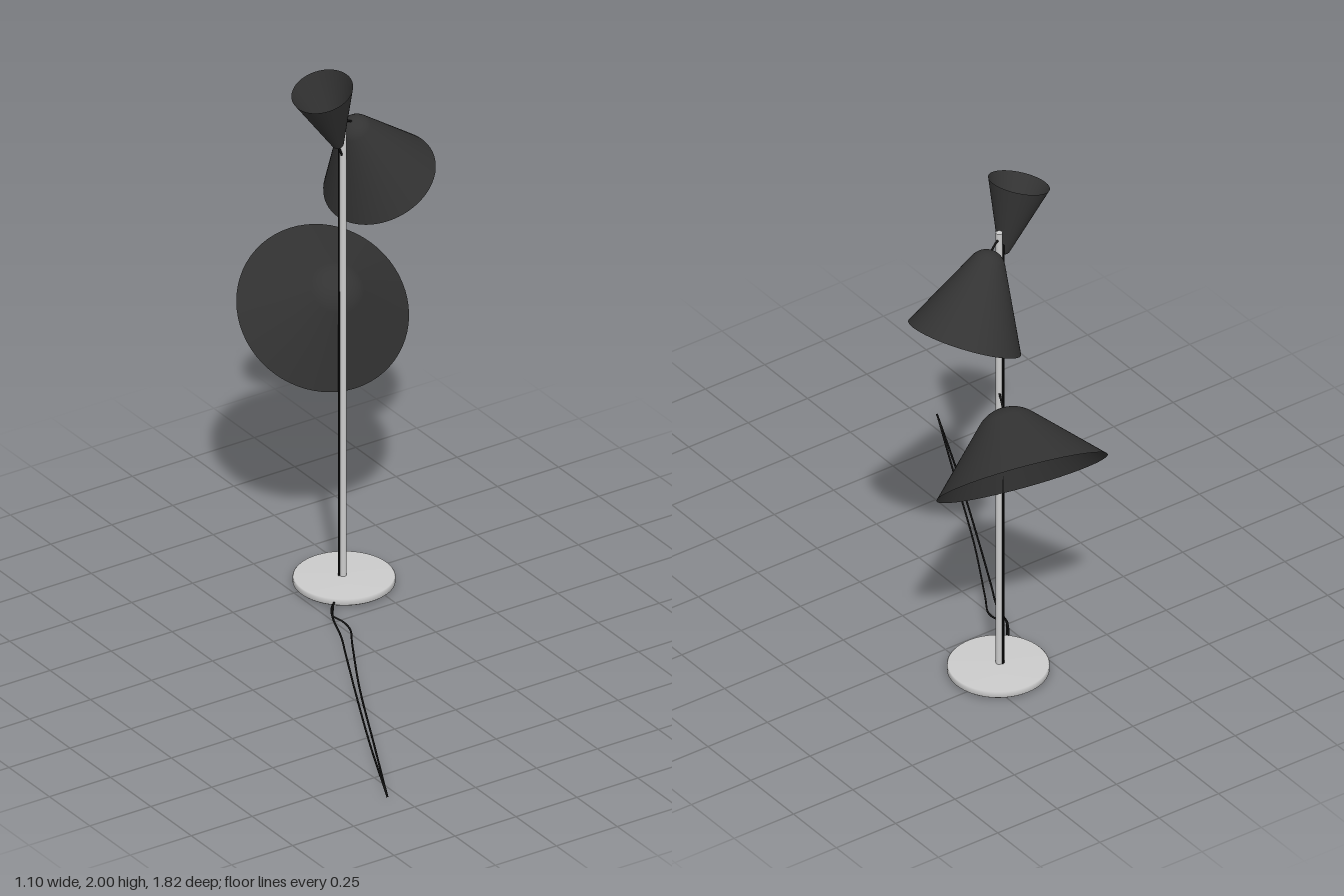
import * as THREE from 'three';

const grey = new THREE.MeshStandardMaterial({ color: 0xcccccc });
const dark = new THREE.MeshStandardMaterial({ color: 0x333333, side: THREE.DoubleSide });
const black = new THREE.MeshStandardMaterial({ color: 0x151515 });
const POLE_X = 0.176, POLE_Z = -0.462;
const V = (x, y, z) => new THREE.Vector3(x, y, z);

function part(name, geometry, material, x = 0, y = 0, z = 0) {
  const mesh = new THREE.Mesh(geometry, material);
  mesh.name = name;
  mesh.position.set(x, y, z);
  return mesh;
}

function wire(name, points, radius, segments) {
  const curve = new THREE.CatmullRomCurve3(points, false, 'centripetal');
  return part(name, new THREE.TubeGeometry(curve, segments, radius, 6), black);
}

// Cone with a ball-rounded tip; rim at y = 0, sharp apex would lie at y = apex
function shadeGeometry(radius, apex, tip) {
  const a = Math.atan2(radius, apex);
  const s = (apex - tip) / (1 / Math.sin(a) - 1);
  const centre = tip - s;
  const profile = [];
  for (let i = 0; i <= 4; i++) profile.push(new THREE.Vector2(radius * (1 - i * 0.04), apex * i * 0.04));
  for (let i = 0; i <= 10; i++) {
    const t = a + (Math.PI / 2 - a) * (i / 10);
    profile.push(new THREE.Vector2(Math.max(0, s * Math.cos(t)), centre + s * Math.sin(t)));
  }
  return new THREE.LatheGeometry(profile, 64);
}

// opening = direction the shade faces, centre = middle of its rim
const shades = [
  { name: 'lowerShade', centre: V(0.24, 0.953, -0.685), opening: V(0.16, -0.72, -0.67), radius: 0.304, apex: 0.305, tip: 0.25, arm: 1.16 },
  { name: 'middleShade', centre: V(0.367, 1.495, -0.525), opening: V(0.45, -0.88, -0.13), radius: 0.202, apex: 0.40, tip: 0.32, arm: 1.79 },
  { name: 'upperShade', centre: V(0.068, 1.965, -0.428), opening: V(-0.31, 0.95, 0.08), radius: 0.108, apex: 0.31, tip: 0.265, arm: 1.66 },
];

function createShade(s, index) {
  const group = new THREE.Group();
  group.name = s.name;
  const axis = s.opening.clone().normalize().negate();
  const head = new THREE.Group();
  head.name = s.name + 'Head';
  head.position.copy(s.centre);
  head.quaternion.setFromUnitVectors(V(0, 1, 0), axis);
  head.add(part('cone', shadeGeometry(s.radius, s.apex, s.tip), dark));
  // Bulb and its short socket just under the tip
  head.add(part('bulb', new THREE.SphereGeometry(0.025, 24, 16), grey, 0, s.tip - 0.055, 0));
  head.add(part('socket', new THREE.CylinderGeometry(0.009, 0.009, 0.03, 16), grey, 0, s.tip - 0.017, 0));
  group.add(head);

  // Thin arm from the tip to the pole
  const tip = s.centre.clone().addScaledVector(axis, s.tip);
  const joint = V(POLE_X, s.arm, POLE_Z);
  const middle = tip.clone().lerp(joint, 0.5).addScaledVector(axis, 0.01);
  group.add(wire('arm', [tip, middle, joint], 0.004, 12));

  // Cord running down the pole
  const angle = Math.PI + 0.35 + index * 0.4;
  const x = POLE_X + 0.0145 * Math.cos(angle), z = POLE_Z + 0.0145 * Math.sin(angle);
  const length = s.arm - 0.05;
  group.add(part('poleCord', new THREE.CylinderGeometry(0.003, 0.003, length, 6), black, x, 0.03 + length / 2, z));
  return group;
}

export function createModel() {
  const model = new THREE.Group();
  model.name = 'floorLamp';

  // Foot disc with softened edges
  const footProfile = [[0, 0.007], [0.17, 0.007], [0.176, 0.012], [0.176, 0.029], [0.172, 0.033], [0, 0.035]]
    .map(([r, y]) => new THREE.Vector2(r, y));
  model.add(part('base', new THREE.LatheGeometry(footProfile, 64), grey, 0.18, 0, POLE_Z));

  // Pole
  model.add(part('pole', new THREE.CylinderGeometry(0.012, 0.012, 1.79, 24), grey, POLE_X, 0.925, POLE_Z));

  shades.forEach((s, i) => model.add(createShade(s, i)));

  // Pair of floor cables: tangled near the foot, then straight
  model.add(wire('floorCableA', [
    V(0.08, 0.018, -0.36), V(0.045, 0.02, -0.325), V(0.02, 0.012, -0.29), V(-0.003, 0.022, -0.25),
    V(0.012, 0.014, -0.22), V(0.01, 0.008, -0.17), V(-0.04, 0.006, -0.08), V(-0.19, 0.007, 0.19),
    V(-0.38, 0.007, 0.57), V(-0.545, 0.007, 0.9)], 0.0035, 90));
  model.add(wire('floorCableB', [
    V(0.07, 0.016, -0.35), V(0.035, 0.014, -0.32), V(0.0, 0.02, -0.265), V(-0.015, 0.012, -0.225),
    V(-0.04, 0.004, -0.15), V(-0.1, 0.007, -0.03), V(-0.215, 0.007, 0.2),
    V(-0.39, 0.007, 0.56), V(-0.547, 0.007, 0.905)], 0.0035, 90));
  return model;
}
